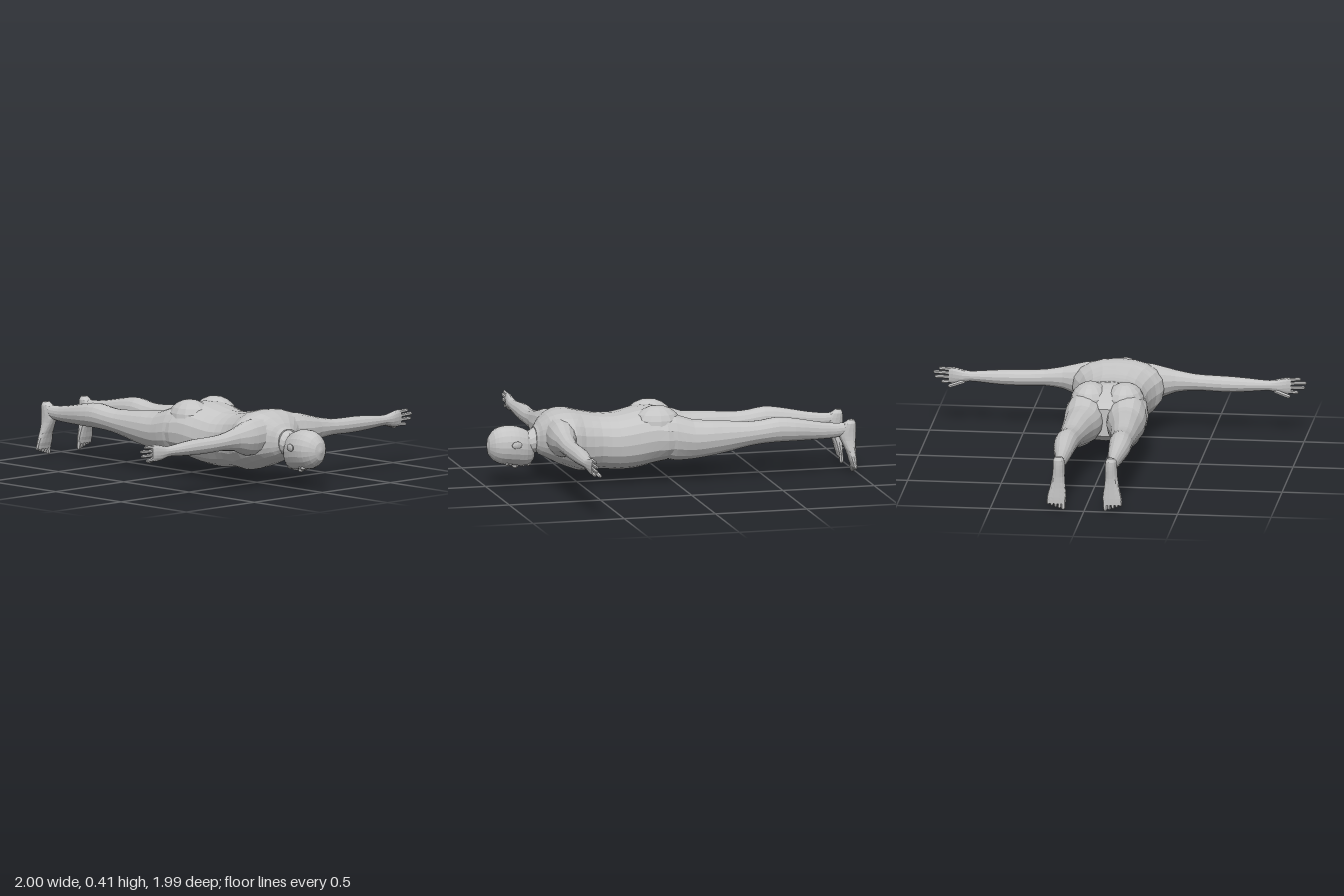
import * as THREE from 'three';

const skin = new THREE.MeshStandardMaterial({ color: 0xc4c4c4, flatShading: true });

// Smooth skin through cross-sections [t, uMin, uMax, vMin, vMax]; place(t, u, v) gives the point.
function loft(name, rows, place, sides = 16, steps = 2, power = 2) {
  const at = (i) => rows[Math.max(0, Math.min(rows.length - 1, i))];
  const rings = [];
  for (let i = 0; i < rows.length - 1; i++) {
    for (let s = 0; s < steps; s++) {
      const f = s / steps;
      rings.push(at(i).map((b, k) => {
        const a = at(i - 1)[k], c = at(i + 1)[k], d = at(i + 2)[k];
        if (k === 0) return b + (c - b) * f;
        return b + 0.5 * f * (c - a + f * (2 * a - 5 * b + 4 * c - d + f * (3 * (b - c) + d - a)));
      }));
    }
  }
  rings.push(at(rows.length - 1));
  const pos = [], idx = [];
  const bend = (w) => Math.sign(w) * Math.abs(w) ** (2 / power);
  for (const [t, u0, u1, v0, v1] of rings) {
    for (let j = 0; j < sides; j++) {
      const a = (j / sides) * Math.PI * 2;
      pos.push(...place(t, (u0 + u1) / 2 + bend(Math.cos(a)) * (u1 - u0) / 2,
        (v0 + v1) / 2 + bend(Math.sin(a)) * (v1 - v0) / 2));
    }
  }
  for (let i = 0; i < rings.length - 1; i++) {
    for (let j = 0; j < sides; j++) {
      const a = i * sides + j, b = i * sides + (j + 1) % sides;
      idx.push(a, b, a + sides, b, b + sides, a + sides);
    }
  }
  // end caps
  const last = (rings.length - 1) * sides;
  for (const [r, base, flip] of [[rings[0], 0, true], [rings[rings.length - 1], last, false]]) {
    const c = pos.length / 3;
    pos.push(...place(r[0], (r[1] + r[2]) / 2, (r[3] + r[4]) / 2));
    for (let j = 0; j < sides; j++) {
      const a = base + j, b = base + (j + 1) % sides;
      idx.push(...(flip ? [b, a, c] : [a, b, c]));
    }
  }
  // turn the faces outward whichever way the axes run
  const p = (i) => new THREE.Vector3(pos[i * 3], pos[i * 3 + 1], pos[i * 3 + 2]);
  let volume = 0;
  for (let i = 0; i < idx.length; i += 3) volume += p(idx[i]).dot(p(idx[i + 1]).cross(p(idx[i + 2])));
  if (volume < 0) idx.reverse();
  const geo = new THREE.BufferGeometry();
  geo.setAttribute('position', new THREE.Float32BufferAttribute(pos, 3));
  geo.setIndex(idx);
  geo.computeVertexNormals();
  const mesh = new THREE.Mesh(geo, skin);
  mesh.name = name;
  return mesh;
}

function ellipsoid(name, x, y, z, rx, ry, rz, w = 10, h = 8) {
  const geo = new THREE.SphereGeometry(1, w, h).scale(rx, ry, rz).translate(x, y, z);
  const mesh = new THREE.Mesh(geo, skin);
  mesh.name = name;
  return mesh;
}

// Slim rounded digit from a to b
function digit(name, a, b, r) {
  const from = new THREE.Vector3(...a), to = new THREE.Vector3(...b);
  const dir = to.clone().sub(from), len = dir.length();
  const geo = new THREE.CapsuleGeometry(r, len - r, 2, 6);
  const mesh = new THREE.Mesh(geo, skin);
  mesh.quaternion.setFromUnitVectors(new THREE.Vector3(0, 1, 0), dir.normalize());
  mesh.position.copy(from).addScaledVector(dir, (len - r) / 2);
  mesh.name = name;
  return mesh;
}

const alongZ = (t, u, v) => [u, v, t];

function makeHead() {
  const head = new THREE.Group();
  head.name = 'head';
  head.add(loft('skull', [
    [0.738, -0.03, 0.03, 0.135, 0.24], [0.755, -0.052, 0.052, 0.112, 0.28],
    [0.785, -0.073, 0.073, 0.104, 0.3], [0.83, -0.086, 0.086, 0.106, 0.318],
    [0.88, -0.09, 0.09, 0.112, 0.324], [0.925, -0.084, 0.084, 0.12, 0.318],
    [0.96, -0.066, 0.066, 0.14, 0.298], [0.984, -0.038, 0.038, 0.17, 0.265],
    [0.993, -0.008, 0.008, 0.21, 0.225]], alongZ, 20));
  head.add(loft('nose', [
    [0.822, -0.012, 0.012, 0.098, 0.13], [0.834, -0.017, 0.017, 0.088, 0.13],
    [0.85, -0.01, 0.01, 0.096, 0.13], [0.885, -0.006, 0.006, 0.111, 0.13]], alongZ, 8));
  for (const z of [0.796, 0.808]) head.add(ellipsoid('lip', 0, 0.106, z, 0.026, 0.008, 0.006));
  head.add(ellipsoid('chin', 0, 0.116, 0.766, 0.028, 0.016, 0.016));
  for (const s of [1, -1]) {
    head.add(ellipsoid('eye', s * 0.034, 0.122, 0.871, 0.015, 0.01, 0.009));
    head.add(ellipsoid('brow', s * 0.036, 0.122, 0.892, 0.024, 0.009, 0.007));
    const ear = ellipsoid('ear', 0, 0, 0, 0.009, 0.02, 0.031);
    ear.position.set(s * 0.092, 0.233, 0.85);
    ear.rotation.y = s * 0.2;
    head.add(ear);
  }
  return head;
}

function makeArm(s) {
  const arm = new THREE.Group();
  arm.name = s > 0 ? 'leftArm' : 'rightArm';
  const alongX = (t, u, v) => [s * t, u, v];
  arm.add(loft('armAndPalm', [
    [0.1, 0.18, 0.375, 0.56, 0.7], [0.18, 0.175, 0.368, 0.55, 0.703],
    [0.24, 0.19, 0.352, 0.563, 0.7], [0.3, 0.213, 0.335, 0.585, 0.692],
    [0.4, 0.226, 0.315, 0.597, 0.69], [0.5, 0.224, 0.31, 0.597, 0.688],
    [0.6, 0.224, 0.308, 0.592, 0.684], [0.7, 0.23, 0.3, 0.602, 0.68],
    [0.8, 0.237, 0.292, 0.615, 0.672], [0.85, 0.222, 0.303, 0.619, 0.668],
    [0.89, 0.22, 0.311, 0.627, 0.662], [0.915, 0.224, 0.309, 0.634, 0.657]], alongX, 14));
  const tips = [[0.303, 0.968], [0.282, 0.998], [0.257, 0.99], [0.229, 0.955]];
  tips.forEach(([y, x], i) => arm.add(
    digit('finger', [s * 0.89, 0.298 - i * 0.021, 0.645], [s * x, y, 0.646], 0.0095)));
  arm.add(digit('thumb', [s * 0.835, 0.237, 0.627], [s * 0.915, 0.214, 0.606], 0.011));
  return arm;
}

function makeLeg(s) {
  const leg = new THREE.Group();
  leg.name = s > 0 ? 'leftLeg' : 'rightLeg';
  leg.add(loft('thighAndCalf', [
    [0.1, 0.04, 0.205, 0.14, 0.37], [0, 0.01, 0.22, 0.113, 0.365],
    [-0.1, 0.016, 0.217, 0.116, 0.331], [-0.2, 0.042, 0.211, 0.13, 0.323],
    [-0.3, 0.06, 0.207, 0.15, 0.315], [-0.4, 0.074, 0.204, 0.173, 0.307],
    [-0.48, 0.08, 0.204, 0.184, 0.312], [-0.56, 0.083, 0.206, 0.188, 0.324],
    [-0.65, 0.09, 0.203, 0.189, 0.314], [-0.75, 0.098, 0.188, 0.19, 0.294],
    [-0.85, 0.108, 0.173, 0.192, 0.277], [-0.92, 0.111, 0.17, 0.2, 0.273],
    [-0.965, 0.115, 0.166, 0.21, 0.278]], (t, u, v) => [s * u, v, t]));
  leg.add(loft('foot', [
    [0.288, 0.122, 0.158, -0.984, -0.955], [0.27, 0.11, 0.169, -0.993, -0.925],
    [0.225, 0.107, 0.172, -0.994, -0.897], [0.18, 0.108, 0.175, -0.991, -0.91],
    [0.12, 0.102, 0.187, -0.991, -0.938], [0.07, 0.097, 0.2, -0.993, -0.954],
    [0.035, 0.1, 0.198, -0.993, -0.966]], (t, u, v) => [s * u, t, v], 14, 2, 2.4));
  for (let i = 0; i < 5; i++) {
    const x = 0.111 + i * 0.0202;
    leg.add(digit('toe', [s * x, 0.055, -0.978], [s * (x + 0.002), i * 0.007, -0.982], i ? 0.009 : 0.012));
  }
  return leg;
}

export function createModel() {
  const body = new THREE.Group();
  body.name = 'lyingFigure';
  // trunk from hips to collar
  body.add(loft('torso', [
    [-0.055, -0.12, 0.12, 0.15, 0.3], [0, -0.215, 0.215, 0.112, 0.36],
    [0.1, -0.216, 0.216, 0.09, 0.396], [0.2, -0.2, 0.2, 0.068, 0.385],
    [0.3, -0.185, 0.185, 0.064, 0.364], [0.4, -0.182, 0.182, 0.074, 0.368],
    [0.5, -0.212, 0.212, 0.07, 0.388], [0.56, -0.245, 0.245, 0.09, 0.4],
    [0.62, -0.235, 0.235, 0.115, 0.396], [0.67, -0.18, 0.18, 0.14, 0.375],
    [0.71, -0.11, 0.11, 0.16, 0.34], [0.735, -0.068, 0.068, 0.18, 0.31]], alongZ, 20, 2, 2.3));
  body.add(loft('neck', [
    [0.66, -0.09, 0.09, 0.17, 0.35], [0.72, -0.068, 0.068, 0.172, 0.318],
    [0.76, -0.06, 0.06, 0.165, 0.292], [0.82, -0.062, 0.062, 0.17, 0.29]], alongZ, 14));
  body.add(makeHead());
  for (const s of [1, -1]) {
    body.add(ellipsoid('buttock', s * 0.092, 0.31, 0.085, 0.105, 0.1, 0.13, 14, 10));
    body.add(makeArm(s), makeLeg(s));
  }
  return body;
}
